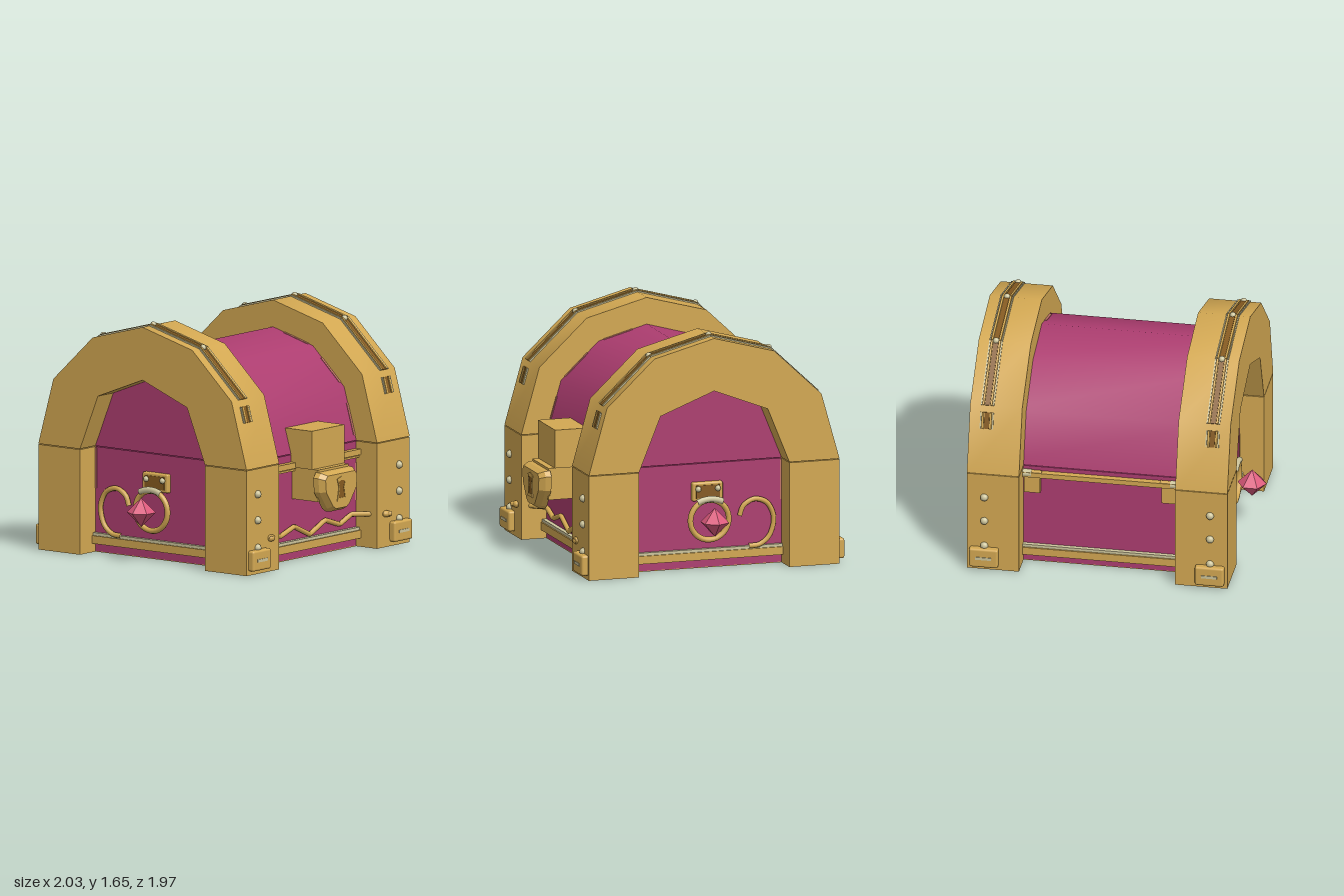
import * as THREE from 'three';
import { toCreasedNormals } from 'three/addons/utils/BufferGeometryUtils.js';
import { RoundedBoxGeometry } from 'three/addons/geometries/RoundedBoxGeometry.js';

const material = (name, color, extra = {}) => {
  const m = new THREE.MeshStandardMaterial({ color, ...extra });
  m.name = name;
  return m;
};

export function createModel() {
  const gold = material('gold', 0xd3a852);
  const magenta = material('magenta', 0xad3d70);
  const brown = material('dark brown', 0x855a20);
  const pale = material('pale metal', 0xcdc59c);
  const worn = material('worn edge', 0xc4746a);
  const gemPink = material('gem pink', 0xdc5a7c, { flatShading: true });

  const model = new THREE.Group();
  model.name = 'treasureChest';
  const CZ = -0.03; // middle of the chest in depth
  const V = (x, y, z) => new THREE.Vector3(x, y, z);

  const add = (name, geo, mat, x = 0, y = 0, z = 0) => {
    const mesh = new THREE.Mesh(geo, mat);
    mesh.name = name;
    mesh.position.set(x, y, z);
    model.add(mesh);
    return mesh;
  };
  // box given by its limits
  const box = (name, mat, x0, x1, y0, y1, z0, z1, radius = 0) => {
    const w = Math.abs(x1 - x0), h = y1 - y0, d = Math.abs(z1 - z0);
    const geo = radius ? new RoundedBoxGeometry(w, h, d, 2, radius) : new THREE.BoxGeometry(w, h, d);
    return add(name, geo, mat, (x0 + x1) / 2, (y0 + y1) / 2, (z0 + z1) / 2);
  };
  // extrude a [z, y] outline along x, centred on x = 0
  const extrudeX = (points, width) => {
    const shape = new THREE.Shape(points.map(([z, y]) => new THREE.Vector2(z, y)));
    const geo = new THREE.ExtrudeGeometry(shape, { depth: width, bevelEnabled: false });
    geo.translate(0, 0, -width / 2).rotateY(-Math.PI / 2);
    return toCreasedNormals(geo, 0.6);
  };
  // mirror half an arch profile of [distance from middle, y]
  const arch = half => [
    ...half.map(([d, y]) => [CZ + d, y]),
    ...half.slice(0, -1).reverse().map(([d, y]) => [CZ - d, y]),
  ];
  const tube = (name, points, radius, mat, tension) => {
    const curve = new THREE.CatmullRomCurve3(points, false, 'catmullrom', tension);
    return add(name, new THREE.TubeGeometry(curve, points.length * 8, radius, 8), mat);
  };
  const rivet = (x, y, z, r = 0.027) =>
    add('rivet', new THREE.SphereGeometry(r, 12, 8), pale, x, y, z);

  // body and lid panels
  box('bodyPanel', magenta, -0.73, 0.73, 0.005, 0.725, -0.75, 0.69);
  box('basePlate', gold, -0.73, 0.73, 0, 0.006, -0.75, 0.69);
  const lid = arch([[0.72, 0.73], [0.615, 1.09], [0.345, 1.345], [0, 1.44]]);
  add('lidPanel', extrudeX(lid, 1.46), magenta);

  const outer = arch([[0.9, 0.73], [0.77, 1.19], [0.43, 1.51], [0, 1.625]]);
  const inner = arch([[0.54, 0.73], [0.385, 1.11], [0, 1.26]]);
  const lidArch = extrudeX([...outer, ...inner.reverse()], 0.36);

  // strip lying on an arch segment, from fraction a to b
  const strip = (name, mat, p, q, a, b, x, width, height) => {
    const dz = q[0] - p[0], dy = q[1] - p[1], len = Math.hypot(dz, dy);
    const t = (a + b) / 2;
    const mesh = add(name, new THREE.BoxGeometry(width, height, len * (b - a)), mat,
      x, p[1] + dy * t, p[0] + dz * t);
    mesh.rotation.x = -Math.atan2(dy, dz);
  };

  for (const s of [-1, 1]) {
    const cx = s * 0.78;
    add('lidArch', lidArch, gold, s * 0.72, 0, 0);

    // straps along the arch, with a rivet at each upper corner
    outer.slice(0, -1).forEach((p, i) => {
      const q = outer[i + 1];
      let [a, b] = [0, 1];
      if (i === 0) [a, b] = [0.66, 0.9];
      if (i === outer.length - 2) [a, b] = [0.1, 0.34];
      strip('strapGroove', brown, p, q, a, b, cx, 0.034, 0.012);
      for (const e of [-1, 1]) {
        strip('strapRail', gold, p, q, a, b, cx + e * 0.027, 0.014, 0.024);
        strip('strapEdge', pale, p, q, a, b, cx + e * 0.042, 0.008, 0.018);
      }
    });
    for (const i of [2, 3, 4]) rivet(cx, outer[i][1] + 0.002, outer[i][0], 0.022);

    // legs, with rivets and corner fittings
    for (const f of [1, -1]) {
      const face = CZ + f * 0.9;
      box('cornerLeg', gold, s * 0.54, s * 0.9, 0, 0.725, CZ + f * 0.54, face);
      for (const y of [0.55, 0.37, 0.18]) rivet(cx, y, face);
      box('cornerFitting', gold, cx - 0.1, cx + 0.1, 0.03, 0.17, face - f * 0.03, face + f * 0.045, 0.015);
      box('fittingSlot', pale, cx - 0.055, cx + 0.055, 0.09, 0.11, face + f * 0.04, face + f * 0.049);
    }

    // side rail
    box('sideRail', gold, s * 0.72, s * 0.765, 0.06, 0.115, -0.57, 0.51);
    box('sideRailTop', pale, s * 0.72, s * 0.755, 0.115, 0.135, -0.57, 0.51);

    // handle plate, ring, gem and hook
    box('handlePlate', gold, s * 0.72, s * 0.765, 0.47, 0.6, CZ - 0.11, CZ + 0.11, 0.012);
    box('handlePlateInset', brown, s * 0.76, s * 0.769, 0.49, 0.58, CZ - 0.085, CZ + 0.085);
    for (const e of [-1, 1]) rivet(s * 0.77, 0.555, CZ + e * 0.07, 0.02);
    const ring = add('handleRing', new THREE.TorusGeometry(0.138, 0.02, 10, 32), gold, s * 0.8, 0.345, CZ);
    ring.rotation.y = Math.PI / 2;
    tube('ringClasp', [-0.09, -0.05, 0, 0.05, 0.09].map(z => V(s * 0.81, 0.49 - z * z * 2.5, CZ + z)), 0.022, pale, 0.5);
    for (const e of [1, -1]) {
      const cone = add('gem', new THREE.ConeGeometry(0.1, 0.1, 6, 1, true), gemPink, s * 0.913, 0.35 + e * 0.05, CZ);
      if (e < 0) cone.rotation.x = Math.PI;
      cone.rotation.y = Math.PI / 6 * 3;
    }
    const hook = [[-0.26, 0.35], [-0.29, 0.42], [-0.37, 0.46], [-0.46, 0.425], [-0.505, 0.325],
      [-0.48, 0.21], [-0.41, 0.145], [-0.325, 0.135]];
    tube('sideHook', hook.map(([z, y]) => V(s * 0.755, y, z)), 0.018, gold, 0.5);

    // back hinges
    add('hingeKnuckle', new THREE.CylinderGeometry(0.028, 0.028, 0.06, 12).rotateZ(Math.PI / 2), pale, s * 0.51, 0.68, -0.77);
    add('hingeBarrel', new THREE.CylinderGeometry(0.025, 0.025, 0.07, 12).rotateZ(Math.PI / 2), gold, s * 0.445, 0.68, -0.77);
    box('hingePlate', gold, s * 0.42, s * 0.53, 0.54, 0.67, -0.785, -0.74);

    // worn patches at panel borders
    box('wornPatch', worn, s * 0.525, s * 0.54, 0.32, 0.58, 0.685, 0.693);
    box('wornPatch', worn, s * 0.725, s * 0.733, 0.14, 0.43, 0.488, 0.51);
    box('wornPatch', worn, s * 0.725, s * 0.733, 0.44, 0.72, -0.57, -0.558);
    for (const i of [0, 1, 2]) strip('wornPatch', worn, lid[i], lid[i + 1], 0.1, 0.7, s * 0.532, 0.018, 0.008);
  }

  // front and back rails
  box('frontRail', gold, -0.54, 0.54, 0.635, 0.675, 0.68, 0.73);
  box('frontRailEdge', gold, -0.54, 0.54, 0.615, 0.628, 0.68, 0.715);
  box('backRail', gold, -0.54, 0.54, 0.66, 0.695, -0.795, -0.74);
  for (const [z0, z1, t] of [[0.68, 0.73, 0.72], [-0.74, -0.79, -0.78]]) {
    box('lowerRail', gold, -0.54, 0.54, 0.06, 0.115, z0, z1);
    box('lowerRailTop', pale, -0.54, 0.54, 0.115, 0.135, z0, t);
  }

  // zigzag trim, its ends passing through the front legs
  const half = [[0.66, 0.23, 0.9], [0.45, 0.235, 0.72], [0.33, 0.18, 0.71], [0.17, 0.23, 0.71]];
  const zigzag = [...half.map(([x, y, z]) => V(-x, y, z)), V(0, 0.155, 0.71), ...half.reverse().map(p => V(...p))];
  tube('zigzagTrim', zigzag, 0.018, gold, 0.05);
  for (const e of [-1, 1]) {
    const end = add('trimEnd', new THREE.SphereGeometry(0.024, 12, 8), gold, e * 0.635, 0.23, 0.875);
    end.scale.x = 1.4;
  }

  // lock: hasp, backing block and tapered plate
  box('lockHasp', gold, -0.18, 0.18, 0.64, 0.905, 0.64, 0.87);
  box('lockBacking', gold, -0.17, 0.17, 0.42, 0.64, 0.66, 0.915);
  const plate = [[-0.18, 0.625], [-0.21, 0.59], [-0.2, 0.49], [-0.11, 0.365], [-0.07, 0.34],
    [0.07, 0.34], [0.11, 0.365], [0.2, 0.49], [0.21, 0.59], [0.18, 0.625]];
  const plateGeo = new THREE.ExtrudeGeometry(
    new THREE.Shape(plate.map(([x, y]) => new THREE.Vector2(x, y - 0.5))), { depth: 0.08, steps: 2, bevelEnabled: false });
  const pos = plateGeo.attributes.position;
  for (let i = 0; i < pos.count; i++) {
    const z = pos.getZ(i), k = z > 0.07 ? 0.83 : z > 0.03 ? 0.97 : 1;
    pos.setXY(i, pos.getX(i) * k, pos.getY(i) * k);
  }
  add('lockPlate', toCreasedNormals(plateGeo, 0.3), gold, 0, 0.5, 0.905);

  // keyhole with raised rim
  const keyhole = k => [[-0.05, 0.075], [-0.03, 0.015], [-0.05, -0.08], [0.05, -0.08], [0.03, 0.015], [0.05, 0.075], [0, 0.09]]
    .map(([x, y]) => new THREE.Vector2(x * k, y * k));
  const rim = new THREE.Shape(keyhole(1));
  rim.holes.push(new THREE.Path(keyhole(0.72)));
  add('keyholeRim', new THREE.ExtrudeGeometry(rim, { depth: 0.008, bevelEnabled: false }), gold, 0, 0.495, 0.982);
  add('keyhole', new THREE.ExtrudeGeometry(new THREE.Shape(keyhole(0.74)), { depth: 0.003, bevelEnabled: false }), brown, 0, 0.495, 0.984);

  return model;
}
